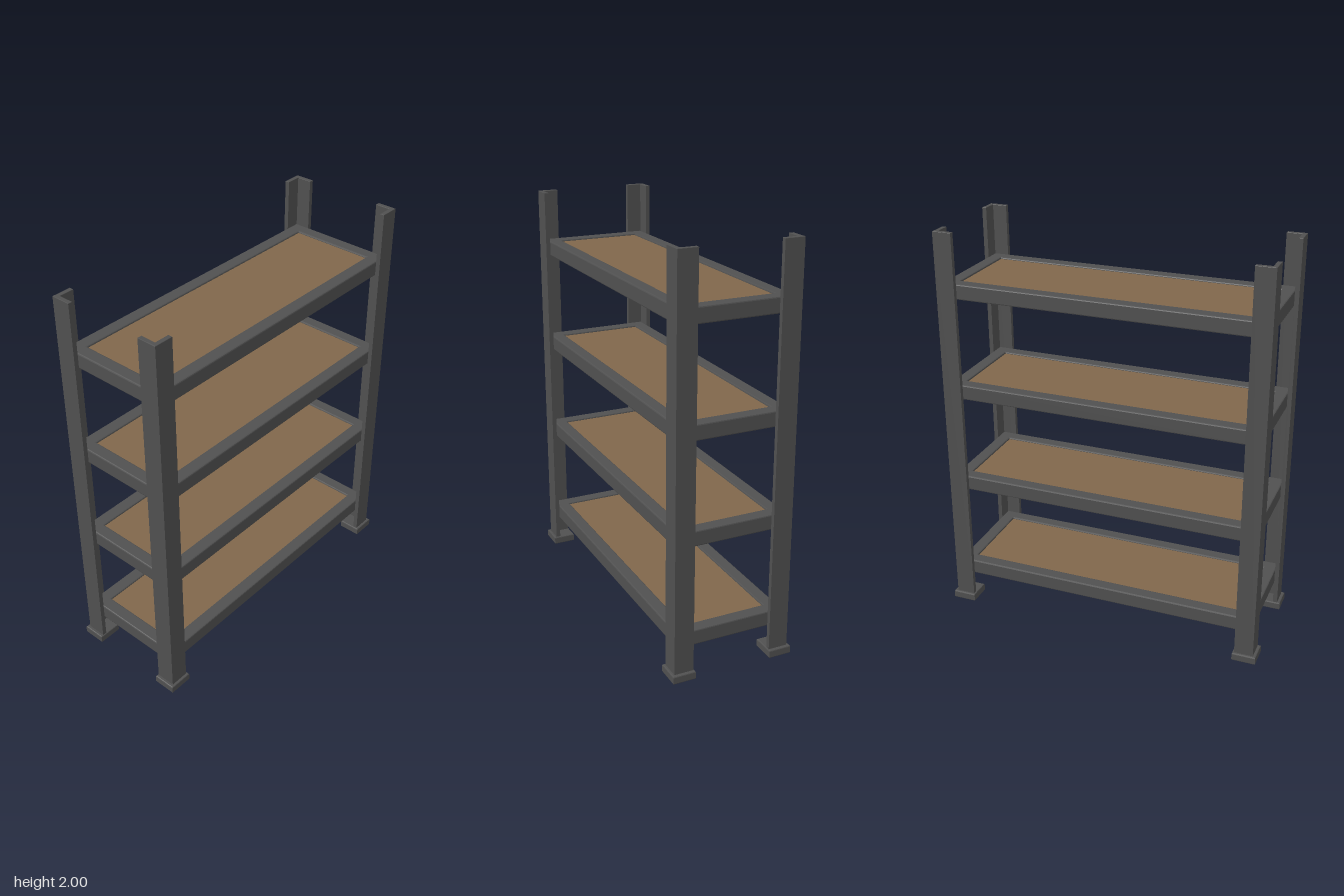
import * as THREE from 'three';

const metal = new THREE.MeshStandardMaterial({ color: 0x505050 });
metal.name = 'dark grey metal';
const wood = new THREE.MeshStandardMaterial({ color: 0x80674b });
wood.name = 'brown board';

// Rectangle outline, usable as a shape or a hole
function rect(x0, y0, x1, y1, Type = THREE.Shape) {
  const s = new Type();
  s.moveTo(x0, y0);
  s.lineTo(x1, y0);
  s.lineTo(x1, y1);
  s.lineTo(x0, y1);
  s.closePath();
  return s;
}

// Upright extrusion of a plan shape from y0 to y1 with a small bevel inside its outline
function upright(name, shape, y0, y1, material, bevel) {
  const geo = new THREE.ExtrudeGeometry(shape, {
    depth: y1 - y0 - 2 * bevel,
    bevelEnabled: bevel > 0,
    bevelThickness: bevel,
    bevelSize: bevel,
    bevelOffset: -bevel,
    bevelSegments: 2,
  });
  geo.rotateX(-Math.PI / 2);
  geo.translate(0, y0 + bevel, 0);
  const mesh = new THREE.Mesh(geo, material);
  mesh.name = name;
  return mesh;
}

// One shelf: closed tray with a raised rim and an inset board
function makeShelf(y0) {
  const shelf = new THREE.Group();
  shelf.name = 'shelf';
  const X = 0.791, Z = 0.275, ix = 0.726, iz = 0.21, h = 0.076;
  const rim = rect(-X, -Z, X, Z);
  rim.holes.push(rect(-ix, -iz, ix, iz, THREE.Path));
  shelf.add(upright('shelfFrame', rim, y0, y0 + h, metal, 0.006));

  const base = new THREE.Mesh(new THREE.BoxGeometry(2 * ix + 0.02, 0.05, 2 * iz + 0.02), metal);
  base.name = 'shelfBase';
  base.position.y = y0 + 0.0255;
  shelf.add(base);

  const board = new THREE.Mesh(new THREE.BoxGeometry(2 * ix, 0.016, 2 * iz), wood);
  board.name = 'shelfBoard';
  board.position.y = y0 + h - 0.016;
  shelf.add(board);
  return shelf;
}

// Corner post of L-shaped angle section, standing on a square foot
function makePost(sx, sz) {
  const post = new THREE.Group();
  post.name = 'cornerPost';
  const xi = 0.718, xo = 0.813, zi = 0.2, zo = 0.297, t = 0.022;
  const corners = [[xi, zo], [xo, zo], [xo, zi], [xo - t, zi], [xo - t, zo - t], [xi, zo - t]];
  const angle = new THREE.Shape(corners.map(([x, z]) => new THREE.Vector2(x * sx, -z * sz)));
  post.add(upright('angleUpright', angle, 0.03, 2, metal, 0.002));

  const a = [0.709 * sx, 0.829 * sx].sort((p, q) => p - q);
  const b = [-0.195 * sz, -0.31 * sz].sort((p, q) => p - q);
  post.add(upright('foot', rect(a[0], b[0], a[1], b[1]), 0, 0.04, metal, 0.005));
  return post;
}

export function createModel() {
  const model = new THREE.Group();
  model.name = 'shelvingRack';
  for (const y of [0.157, 0.658, 1.159, 1.673]) model.add(makeShelf(y));
  for (const sx of [-1, 1]) for (const sz of [-1, 1]) model.add(makePost(sx, sz));
  return model;
}
